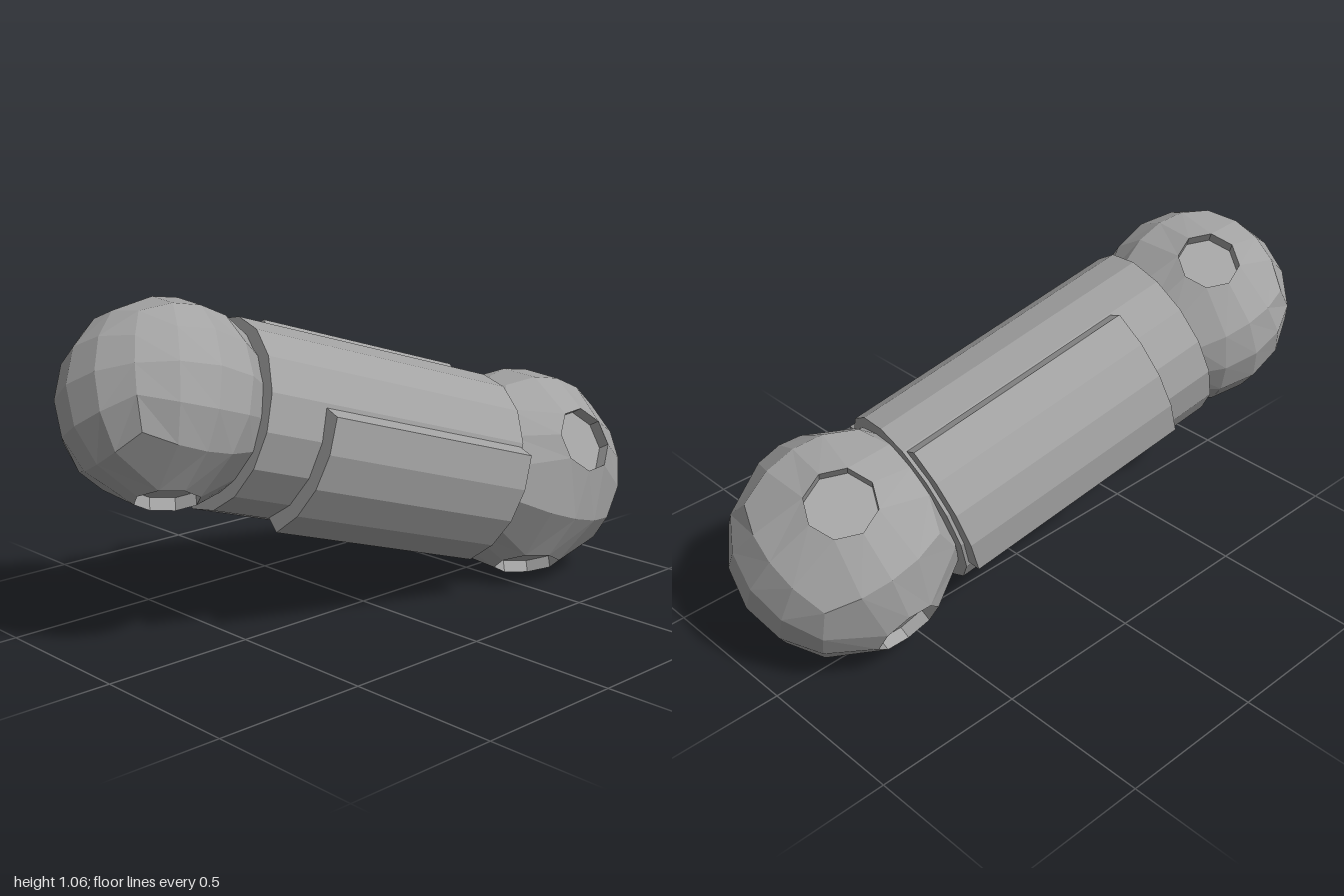
import * as THREE from 'three';

const grey = new THREE.MeshStandardMaterial({ color: 0xa3a3a3, flatShading: true });
grey.name = 'grey';

function part(geometry, name) {
  const mesh = new THREE.Mesh(geometry, grey);
  mesh.name = name;
  return mesh;
}

// Faceted cube-sphere; faces listed in ports get a sunken octagonal socket.
function ballGeometry(radius, ports, depth = 0.04, portAngle = 0.315) {
  const N = 4, positions = [];
  const tri = (...pts) => pts.forEach(p => positions.push(p.x, p.y, p.z));
  const quad = (a, b, c, d) => { tri(a, b, c); tri(a, c, d); };
  const axes = [new THREE.Vector3(1, 0, 0), new THREE.Vector3(0, 1, 0), new THREE.Vector3(0, 0, 1)];
  for (let axis = 0; axis < 3; axis++) for (const sign of [1, -1]) {
    const n = axes[axis].clone().multiplyScalar(sign);
    const u = axes[(axis + 1) % 3];
    const v = n.clone().cross(u);
    const hasPort = ports.includes(axis);
    const onSphere = (a, b) => n.clone().addScaledVector(u, a).addScaledVector(v, b).setLength(radius);
    const rimPoint = angle => onSphere(Math.tan(portAngle) * Math.cos(angle), Math.tan(portAngle) * Math.sin(angle));
    const point = (i, j) => {
      const a = i - N / 2, b = j - N / 2;
      if (hasPort && Math.max(Math.abs(a), Math.abs(b)) === 1) return rimPoint(Math.atan2(b, a));
      return onSphere(Math.tan(a * Math.PI / 8), Math.tan(b * Math.PI / 8));
    };
    for (let i = 0; i < N; i++) for (let j = 0; j < N; j++) {
      if (hasPort && i > 0 && i < N - 1 && j > 0 && j < N - 1) continue;
      quad(point(i, j), point(i + 1, j), point(i + 1, j + 1), point(i, j + 1));
    }
    if (!hasPort) continue;
    // socket wall and floor
    const centre = n.clone().multiplyScalar(radius * Math.cos(portAngle) - depth);
    for (let k = 0; k < 8; k++) {
      const r0 = rimPoint(k * Math.PI / 4), r1 = rimPoint((k + 1) * Math.PI / 4);
      const f0 = r0.clone().addScaledVector(n, -depth), f1 = r1.clone().addScaledVector(n, -depth);
      quad(r0, r1, f1, f0);
      tri(centre, f0, f1);
    }
  }
  const geometry = new THREE.BufferGeometry();
  geometry.setAttribute('position', new THREE.Float32BufferAttribute(positions, 3));
  geometry.computeVertexNormals();
  return geometry;
}

// Raised curved plate with sloped long edges, swept along the barrel.
function panelGeometry(z0, z1) {
  const rad = THREE.MathUtils.degToRad;
  const arc = (r, from, to, steps) => Array.from({ length: steps + 1 }, (_, i) => {
    const a = rad(from + (to - from) * i / steps);
    return new THREE.Vector2(r * Math.cos(a), r * Math.sin(a));
  });
  const shape = new THREE.Shape([...arc(0.35, -60, 14, 4), ...arc(0.28, 22, -69, 4)]);
  const geometry = new THREE.ExtrudeGeometry(shape, { depth: z1 - z0, bevelEnabled: false });
  geometry.translate(0, 0, z0);
  return geometry;
}

export function createModel() {
  const model = new THREE.Group();
  model.name = 'model';

  // Everything is built along local z, then tilted.
  const body = new THREE.Group();
  body.name = 'tiltedBody';
  model.add(body);

  // barrel
  const back = -0.436, front = 0.545;
  const barrel = part(new THREE.CylinderGeometry(0.297, 0.297, front - back, 16), 'barrel');
  barrel.rotation.x = Math.PI / 2;
  barrel.position.z = (front + back) / 2;
  body.add(barrel);

  // two raised panels, half a turn apart
  ['leftPanel', 'rightPanel'].forEach((name, i) => {
    const panel = part(panelGeometry(-0.425, 0.35), name);
    panel.rotation.z = i * Math.PI;
    body.add(panel);
  });

  // end balls with sockets
  const frontBall = part(ballGeometry(0.316, [1]), 'frontBall');
  frontBall.position.z = 0.725;
  const backBall = part(ballGeometry(0.355, [0, 1]), 'backBall');
  backBall.position.z = -0.682;
  for (const ball of [frontBall, backBall]) {
    ball.rotation.z = Math.PI / 6;
    body.add(ball);
  }

  body.position.set(-0.015, 0.557, 0);
  body.lookAt(body.position.clone().add(new THREE.Vector3(-0.165, 0.305, 1)));
  return model;
}
